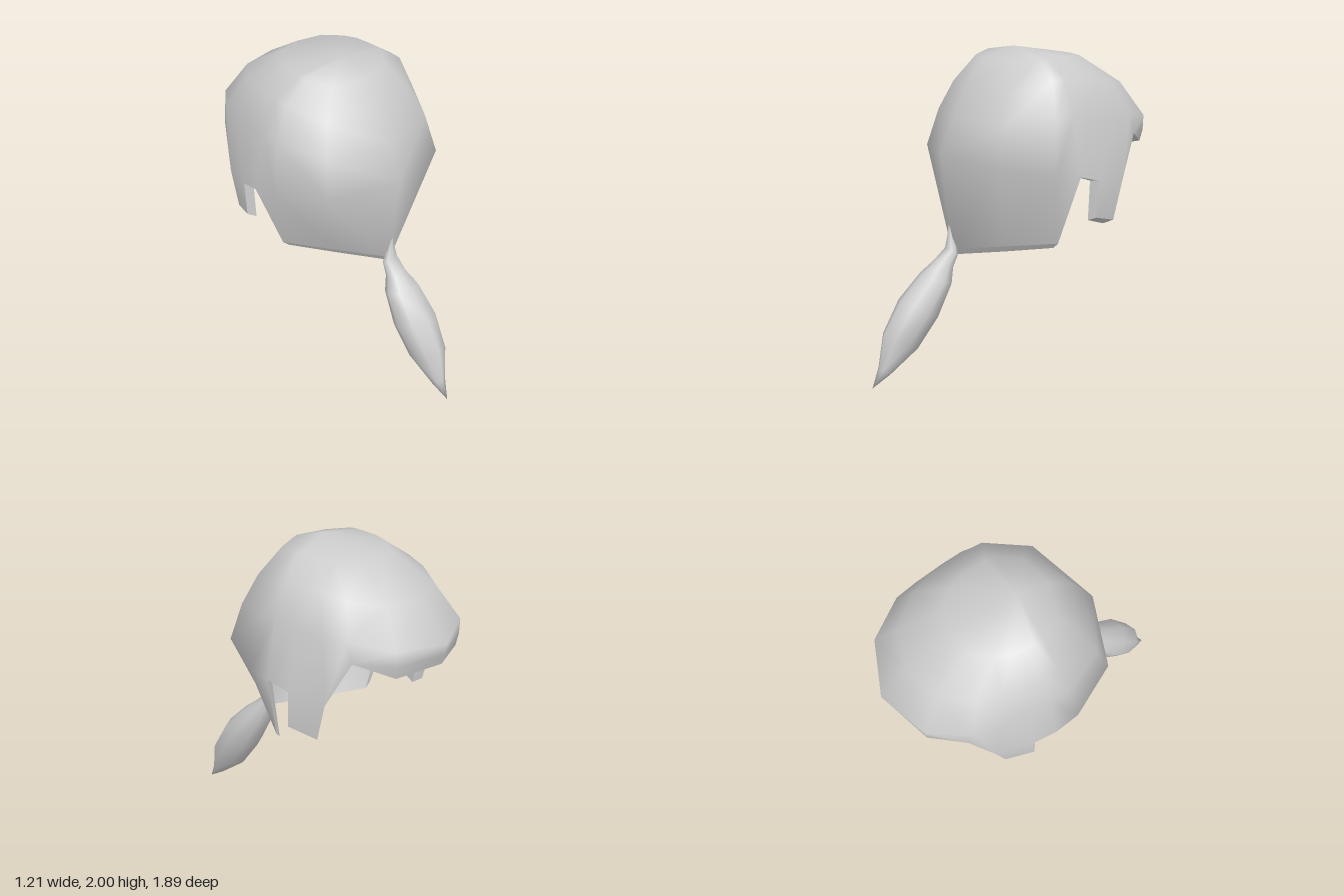
import * as THREE from 'three';
import { mergeVertices } from 'three/addons/utils/BufferGeometryUtils.js';

// Skin a closed loop of columns; each column is a list of [x, y, z] from top to bottom
function skin(columns, { flip = false, flat = false } = {}) {
  const rows = columns[0].length, n = columns.length, index = [];
  for (let c = 0; c < n; c++) {
    for (let r = 0; r < rows - 1; r++) {
      const a = c * rows + r, d = ((c + 1) % n) * rows + r;
      // diagonals mirror between the two halves
      const quad = c < n / 2 ? [a, a + 1, d, a + 1, d + 1, d] : [a, a + 1, d + 1, a, d + 1, d];
      index.push(...(flip ? quad.reverse() : quad));
    }
  }
  let geo = new THREE.BufferGeometry();
  geo.setAttribute('position', new THREE.Float32BufferAttribute(columns.flat(2), 3));
  geo.setIndex(index);
  geo = flat ? geo.toNonIndexed() : mergeVertices(geo, 1e-4);
  geo.computeVertexNormals();
  return geo;
}

// Back of the cap, centre to side: upper head, temple, widest point, rim
const TOP = [0, 2, -0.06];
const BACK = [
  [[0, 1.78, 0.28], [0, 1.6, 0.36], [0, 1.39, 0.45], [0, 0.79, 0.385]],
  [[0.31, 1.77, 0.18], [0.38, 1.59, 0.25], [0.42, 1.36, 0.315], [0.235, 0.825, 0.15]],
  [[0.435, 1.84, -0.05], [0.52, 1.63, -0.02], [0.58, 1.3, 0.02], [0.467, 0.865, -0.08]],
];
const NOTCH = [[0.435, 1.84, -0.14], [0.525, 1.65, -0.14], [0.605, 1.29, -0.14]];
// Sideburn, rear and front edge
const SIDEBURN = [
  [[0.43, 1.83, -0.25], [0.52, 1.63, -0.27], [0.59, 1.25, -0.28], [0.585, 1.025, -0.272]],
  [[0.415, 1.82, -0.38], [0.51, 1.58, -0.46], [0.535, 1.21, -0.5], [0.53, 0.975, -0.442]],
];
// Fringe, corner to centre
const FRINGE = [
  [[0.37, 1.79, -0.52], [0.47, 1.6, -0.6], [0.465, 1.478, -0.635]],
  [[0.23, 1.76, -0.7], [0.32, 1.55, -0.825], [0.315, 1.46, -0.825], [0.3, 1.385, -0.815]],
  [[0, 1.75, -0.76], [0, 1.53, -0.945], [0, 1.46, -0.93], [0, 1.4, -0.915]],
];

// Ponytail stations: upper [z, y], lower [z, y], half width
const TAIL = [
  [[0.405, 0.95], [0.35, 0.83], 0.01],
  [[0.418, 0.8], [0.355, 0.75], 0.055],
  [[0.5, 0.73], [0.385, 0.68], 0.065],
  [[0.59, 0.66], [0.405, 0.585], 0.11],
  [[0.74, 0.515], [0.505, 0.39], 0.135],
  [[0.857, 0.325], [0.64, 0.21], 0.11],
  [[0.895, 0.12], [0.83, 0.07], 0.045],
  [[0.945, 0], [0.945, 0], 0],
];

// Whole column: crown point, rounded shoulder, then the given points (a short column ends early)
function fullColumn(points) {
  const [x, y, z] = points[0];
  const shoulder = [x * 0.64, 2 - (2 - y) * 0.28, TOP[2] + (z - TOP[2]) * 0.6];
  return [TOP, shoulder, ...points.slice(0, 3), points[3] ?? points[2]];
}

// Inner lining point for an outer point
const inset = ([x, y, z]) => [x * 0.92, y - 0.08 * Math.abs(y - 1.3), z * 0.9];

export function createModel() {
  const group = new THREE.Group();
  const material = new THREE.MeshStandardMaterial({ color: 0xcccccc });
  const add = (name, geometry) => {
    const mesh = new THREE.Mesh(geometry, material);
    mesh.name = name;
    group.add(mesh);
  };

  // The sideburn steps down from short copies of its own edges
  const [rear, front] = SIDEBURN;
  const half = [
    ...BACK, NOTCH, rear.slice(0, 3), rear, front, front.slice(0, 3), ...FRINGE,
  ].map(fullColumn);

  // Mirror the half columns into a full loop
  const mirrored = half.slice(1, -1).reverse().map((col) => col.map(([x, y, z]) => [-x, y, z]));
  const outer = [...half, ...mirrored];
  const inner = outer.map((col) => col.map(inset));
  add('hairCap', skin(outer));
  add('hairLining', skin(inner, { flip: true }));
  add('hairRim', skin(outer.map((col, i) => [col[5], inner[i][5]]), { flat: true }));

  // Ponytail from oval sections
  const sides = 8, tail = [];
  for (let i = 0; i < sides; i++) {
    const a = (i / sides) * Math.PI * 2, t = (1 + Math.cos(a)) / 2;
    tail.push(TAIL.map(([up, low, w]) => [
      Math.sin(a) * w, low[1] + (up[1] - low[1]) * t, low[0] + (up[0] - low[0]) * t,
    ]));
  }
  add('ponytail', skin(tail));
  return group;
}
